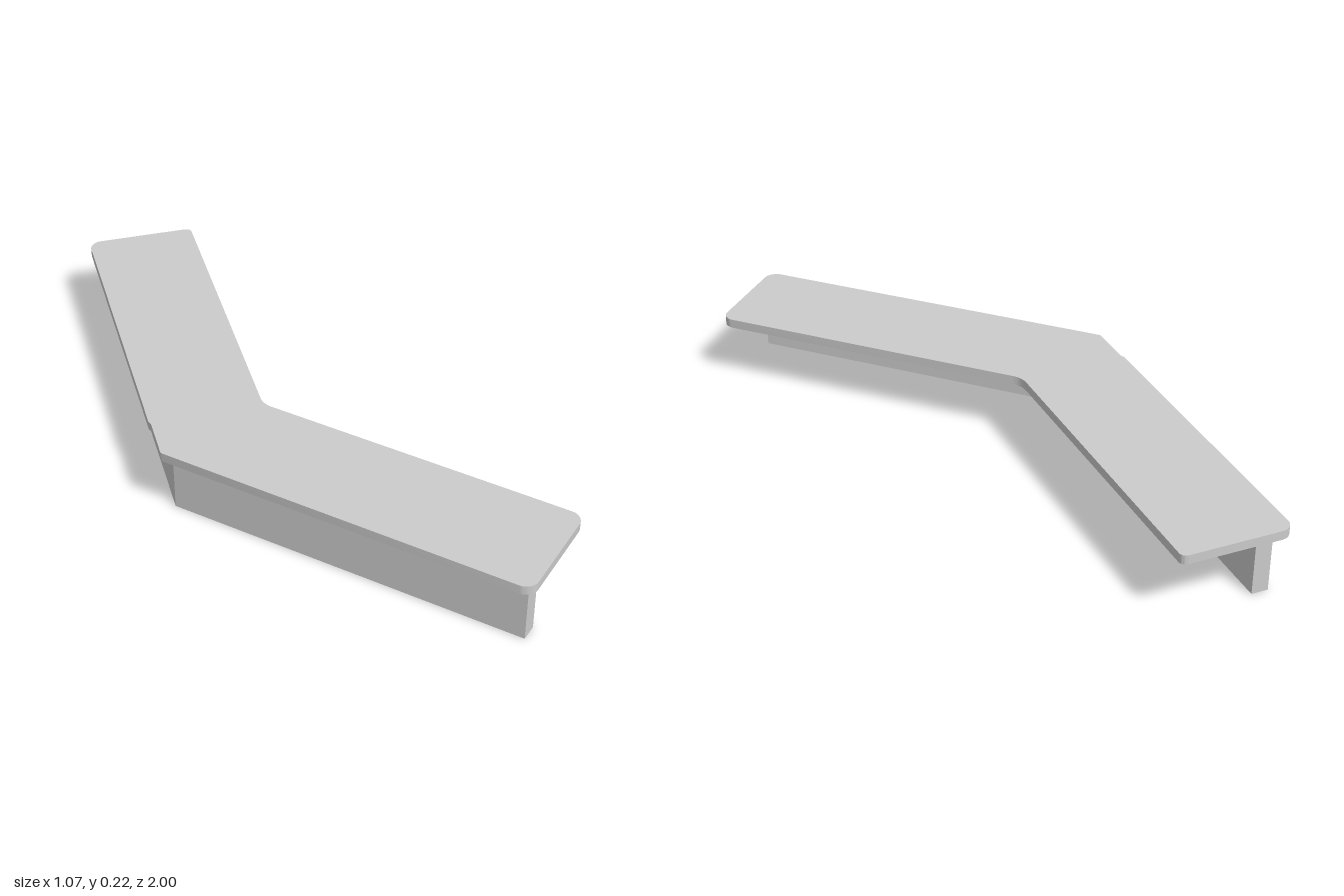
import * as THREE from 'three';
import { toCreasedNormals } from 'three/addons/utils/BufferGeometryUtils.js';

const material = new THREE.MeshStandardMaterial({ color: 0xcccccc });

// Closed outline from [x, z, radius] corners; a radius rounds the corner with an arc.
function roundedOutline(corners) {
  const shape = new THREE.Shape();
  const n = corners.length;
  const at = (i) => new THREE.Vector2(corners[(i + n) % n][0], -corners[(i + n) % n][1]);
  corners.forEach(([, , r = 0], i) => {
    const p = at(i);
    const toPrev = at(i - 1).sub(p).normalize();
    const toNext = at(i + 1).sub(p).normalize();
    const turn = Math.PI - Math.acos(toPrev.dot(toNext));
    const cut = r * Math.tan(turn / 2);
    const rest = cut - (4 / 3) * r * Math.tan(turn / 4);
    const on = (dir, d) => p.clone().addScaledVector(dir, d);
    const a = on(toPrev, cut);
    if (i === 0) shape.moveTo(a.x, a.y);
    else shape.lineTo(a.x, a.y);
    if (r > 0) {
      const c1 = on(toPrev, rest), c2 = on(toNext, rest), b = on(toNext, cut);
      shape.bezierCurveTo(c1.x, c1.y, c2.x, c2.y, b.x, b.y);
    }
  });
  shape.closePath();
  return shape;
}

// Upright slab with the given plan outline, from y = bottom to y = top.
function slab(name, corners, bottom, top) {
  const geometry = new THREE.ExtrudeGeometry(roundedOutline(corners), {
    depth: top - bottom, bevelEnabled: false, curveSegments: 10,
  });
  geometry.rotateX(-Math.PI / 2).translate(0, bottom, 0);
  const mesh = new THREE.Mesh(toCreasedNormals(geometry, Math.PI / 8), material);
  mesh.name = name;
  return mesh;
}

export function createModel() {
  const group = new THREE.Group();
  group.name = 'angledCounter';

  // Counter top: a straight arm and a 45 degree arm, with rounded ends
  group.add(slab('counterTop', [
    [-0.538, -1, 0.04],
    [-0.19, -1, 0.02],
    [-0.19, 0.03, 0.07],
    [0.549, 0.769, 0.04],
    [0.302, 1.017, 0.04],
    [-0.533, 0.182, 0.01],
    [-0.533, 0.04],
    [-0.538, 0.025],
  ], 0.193, 0.222));

  // Thin supporting wall set just inside the outer edge
  group.add(slab('supportWall', [
    [-0.495, -0.96],
    [-0.443, -0.96],
    [-0.443, 0.142],
    [0.349, 0.934],
    [0.311, 0.971],
    [-0.495, 0.165],
  ], 0, 0.193));

  return group;
}
